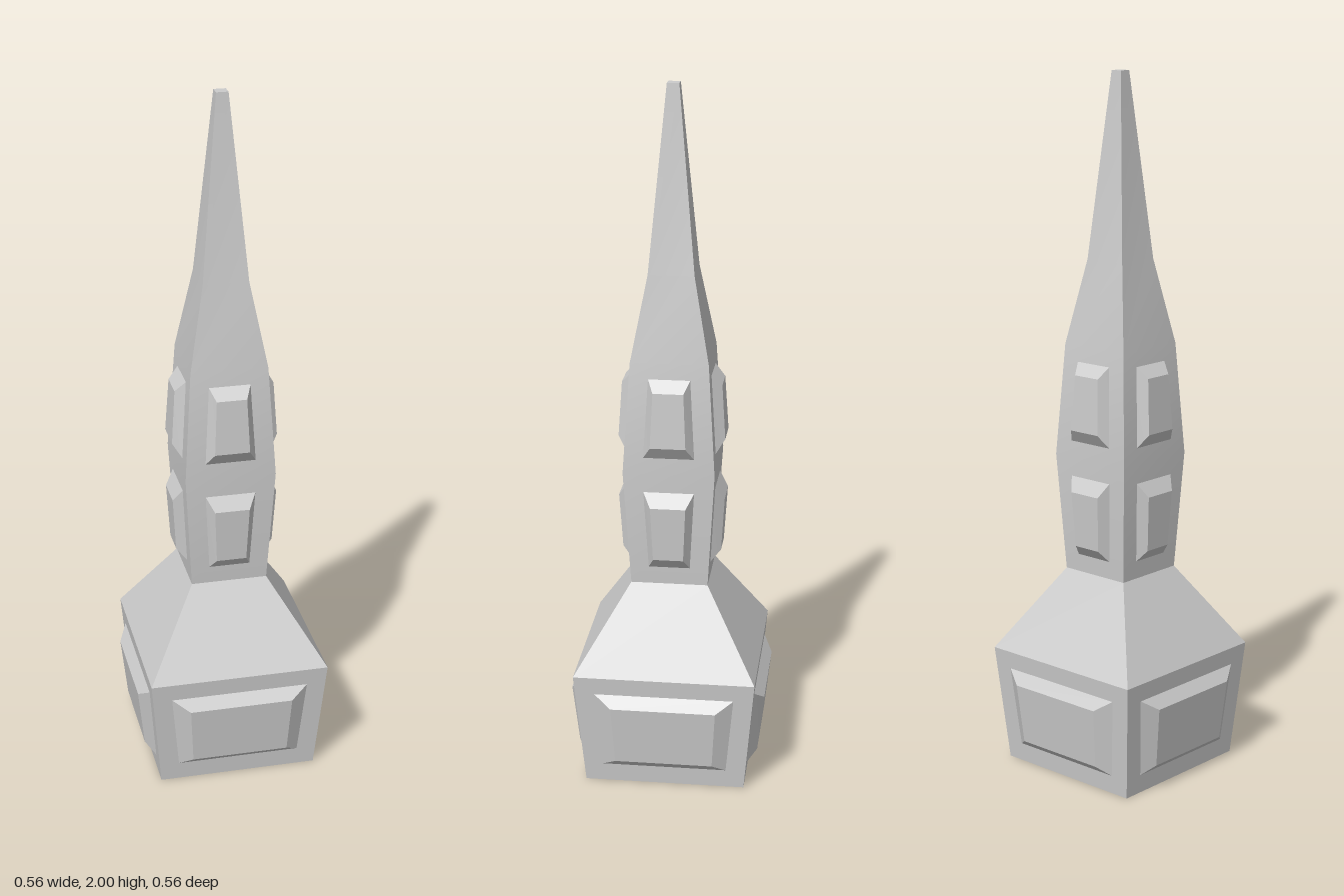
import * as THREE from 'three';
import { toCreasedNormals } from 'three/addons/utils/BufferGeometryUtils.js';

const material = new THREE.MeshStandardMaterial({ color: 0xcccccc });

// Half-width of the square tower at each height: [y, half]
const PROFILE = [[0, 0.23], [0.34, 0.26], [0.58, 0.11], [0.92, 0.13], [1.24, 0.11], [1.48, 0.065], [2, 0.017]];

// Distance of the wall from the axis at height y
function wallAt(y) {
  const i = PROFILE.findIndex((p) => p[0] >= y);
  const [y0, h0] = PROFILE[Math.max(i - 1, 0)];
  const [y1, h1] = PROFILE[Math.max(i, 1)];
  return THREE.MathUtils.mapLinear(y, y0, y1, h0, h1);
}

// Joins four-cornered rings into a skin, capping the last and optionally the first
function loft(rings, capStart) {
  const pos = [];
  const quad = (a, b, c, d) => pos.push(...a, ...b, ...c, ...a, ...c, ...d);
  for (let k = 0; k < rings.length - 1; k++) {
    const p = rings[k], q = rings[k + 1];
    for (let i = 0; i < 4; i++) {
      const j = (i + 1) % 4;
      quad(p[i], p[j], q[j], q[i]);
    }
  }
  quad(...rings[rings.length - 1]);
  if (capStart) quad(...[...rings[0]].reverse());
  const geo = new THREE.BufferGeometry();
  geo.setAttribute('position', new THREE.Float32BufferAttribute(pos, 3));
  return toCreasedNormals(geo, Math.PI / 6);
}

// Ring of a front-facing panel; each edge is [y, half width, z]
const panelRing = ([yb, wb, zb], [yt, wt, zt]) => [[-wb, yb, zb], [wb, yb, zb], [wt, yt, zt], [-wt, yt, zt]];

// Bevelled panel: the outer ring lies on the wall, the inner ring stands proud
function panelGeometry({ outer, inner }) {
  const base = outer.map(([y, w]) => [y, w, wallAt(y)]);
  return loft([panelRing(...base), panelRing(...inner)], false);
}

const PANELS = {
  basePanel: { outer: [[0.055, 0.178], [0.288, 0.2]], inner: [[0.08, 0.14, 0.262], [0.255, 0.15, 0.281]] },
  lowerPanel: { outer: [[0.632, 0.059], [0.865, 0.072]], inner: [[0.665, 0.043, 0.142], [0.825, 0.05, 0.152]] },
  upperPanel: { outer: [[0.968, 0.072], [1.195, 0.059]], inner: [[1.005, 0.05, 0.152], [1.163, 0.043, 0.142]] },
};

export function createModel() {
  const model = new THREE.Group();
  model.name = 'spire';

  // Square tapering tower
  const rings = PROFILE.map(([y, h]) => [[-h, y, h], [h, y, h], [h, y, -h], [-h, y, -h]]);
  const tower = new THREE.Mesh(loft(rings, true), material);
  tower.name = 'tower';
  model.add(tower);

  // Raised panels on all four sides
  const sides = ['front', 'left', 'back', 'right'];
  for (const [name, spec] of Object.entries(PANELS)) {
    const geo = panelGeometry(spec);
    sides.forEach((side, i) => {
      const panel = new THREE.Mesh(geo, material);
      panel.name = `${side} ${name}`;
      panel.rotation.y = (i * Math.PI) / 2;
      model.add(panel);
    });
  }
  return model;
}
